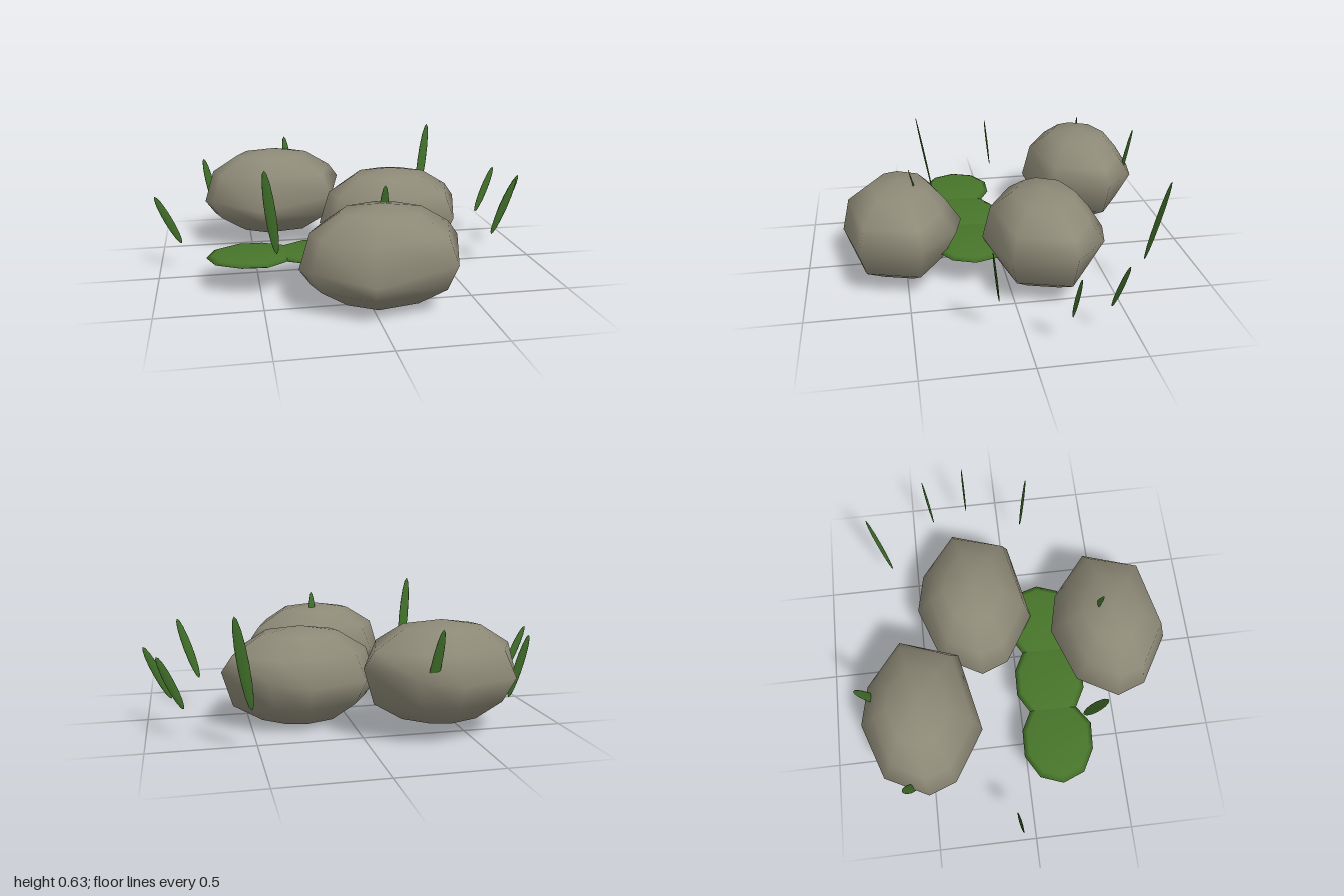
import * as THREE from 'three';
import { mergeVertices } from 'three/addons/utils/BufferGeometryUtils.js';

const material = (name, color) => {
  const m = new THREE.MeshStandardMaterial({ color });
  m.name = name;
  return m;
};

// Sphere whose vertices are moved by rule(row, column, y, s), welded and smoothed
function shapedSphere(columns, rows, rule) {
  const geo = new THREE.SphereGeometry(1, columns, rows);
  const pos = geo.attributes.position;
  for (let i = 0; i < pos.count; i++) {
    const row = Math.floor(i / (columns + 1));
    const col = (i % (columns + 1)) % columns;
    const theta = (row / rows) * Math.PI;
    pos.setXYZ(i, ...rule(row, col, Math.cos(theta), Math.sin(theta)));
  }
  geo.deleteAttribute('uv');
  geo.deleteAttribute('normal');
  const welded = mergeVertices(geo, 1e-4);
  welded.computeVertexNormals();
  return welded;
}

// Boulder: widest outline as x, z and the height shift of each corner
const OUTLINE = [
  [-0.39, 0.0, -0.05], [-0.345, 0.14, -0.02], [-0.09, 0.295, -0.05], [0.305, 0.21, 0],
  [0.39, -0.085, 0.05], [0.18, -0.265, 0.02], [-0.01, -0.31, 0], [-0.29, -0.21, 0],
];
function rockGeometry() {
  return shapedSphere(8, 6, (row, col, y, s) => {
    const [x, z, lift] = OUTLINE[col];
    const back = col >= 5 && (row === 2 || row === 4) ? 0.86 : 1;
    return [x * s, 0.245 * y + (row === 3 ? lift : 0), z * s * back];
  });
}

// Moss pad: flat, slightly uneven disc
function mossGeometry() {
  return shapedSphere(10, 6, (row, col, y, s) => {
    const a = (col / 10) * Math.PI * 2;
    const r = s * (1 + 0.03 * Math.sin(col * 2.3 + 0.5));
    return [-Math.cos(a) * 0.222 * r, 0.022 * y, Math.sin(a) * 0.19 * r];
  });
}

// Blade: flat leaf shape pointed at both ends, stretched from base to tip
function blade(geo, mat, base, tip) {
  const a = new THREE.Vector3(...base), b = new THREE.Vector3(...tip);
  const along = b.clone().sub(a), length = along.length();
  along.normalize();
  const thin = new THREE.Vector3(1, 0, 0).cross(along).normalize();
  const wide = along.clone().cross(thin);
  const mesh = new THREE.Mesh(geo, mat);
  mesh.quaternion.setFromRotationMatrix(new THREE.Matrix4().makeBasis(wide, along, thin));
  mesh.position.copy(a).add(b).multiplyScalar(0.5);
  mesh.scale.set(0.012 + length * 0.032, length / 2, 0.005);
  return mesh;
}

export function createModel() {
  const model = new THREE.Group();
  model.name = 'mossyRocks';
  const stone = material('stone', 0x8d8977);
  const moss = material('moss', 0x47752a);
  const grass = material('grass', 0x41702a);

  const add = (mesh, name) => {
    mesh.name = name;
    model.add(mesh);
    return mesh;
  };

  // Three boulders
  const rockGeo = rockGeometry();
  [[-0.365, 0.315, -0.51], [0.25, 0.25, -0.185], [0.05, 0.25, 0.515]].forEach((p, i) =>
    add(new THREE.Mesh(rockGeo, stone), `boulder${i + 1}`).position.set(...p));

  // Row of moss pads
  const mossGeo = mossGeometry();
  [-0.53, -0.2, 0.13].forEach((x, i) =>
    add(new THREE.Mesh(mossGeo, moss), `mossPad${i + 1}`).position.set(x, 0.16, 0.167));

  // Scattered grass blades: base, tip
  const bladeGeo = new THREE.SphereGeometry(1, 8, 8);
  [
    [[-0.88, 0.16, -0.085], [-1.0, 0.42, -0.07]],
    [[-0.69, 0.18, -0.57], [-0.755, 0.49, -0.615]],
    [[-0.42, 0.21, 0.315], [-0.475, 0.64, 0.39]],
    [[-0.235, 0.19, -0.71], [-0.272, 0.57, -0.805]],
    [[0.08, 0.19, 0.37], [0.075, 0.565, 0.465]],
    [[0.53, 0.21, -0.62], [0.6, 0.64, -0.69]],
    [[0.735, 0.18, 0.118], [0.835, 0.49, 0.16]],
    [[0.82, 0.16, -0.372], [0.93, 0.42, -0.405]],
    [[0.875, 0.16, -0.18], [0.995, 0.42, -0.18]],
  ].forEach(([base, tip], i) => add(blade(bladeGeo, grass, base, tip), `grassBlade${i + 1}`));

  return model;
}
